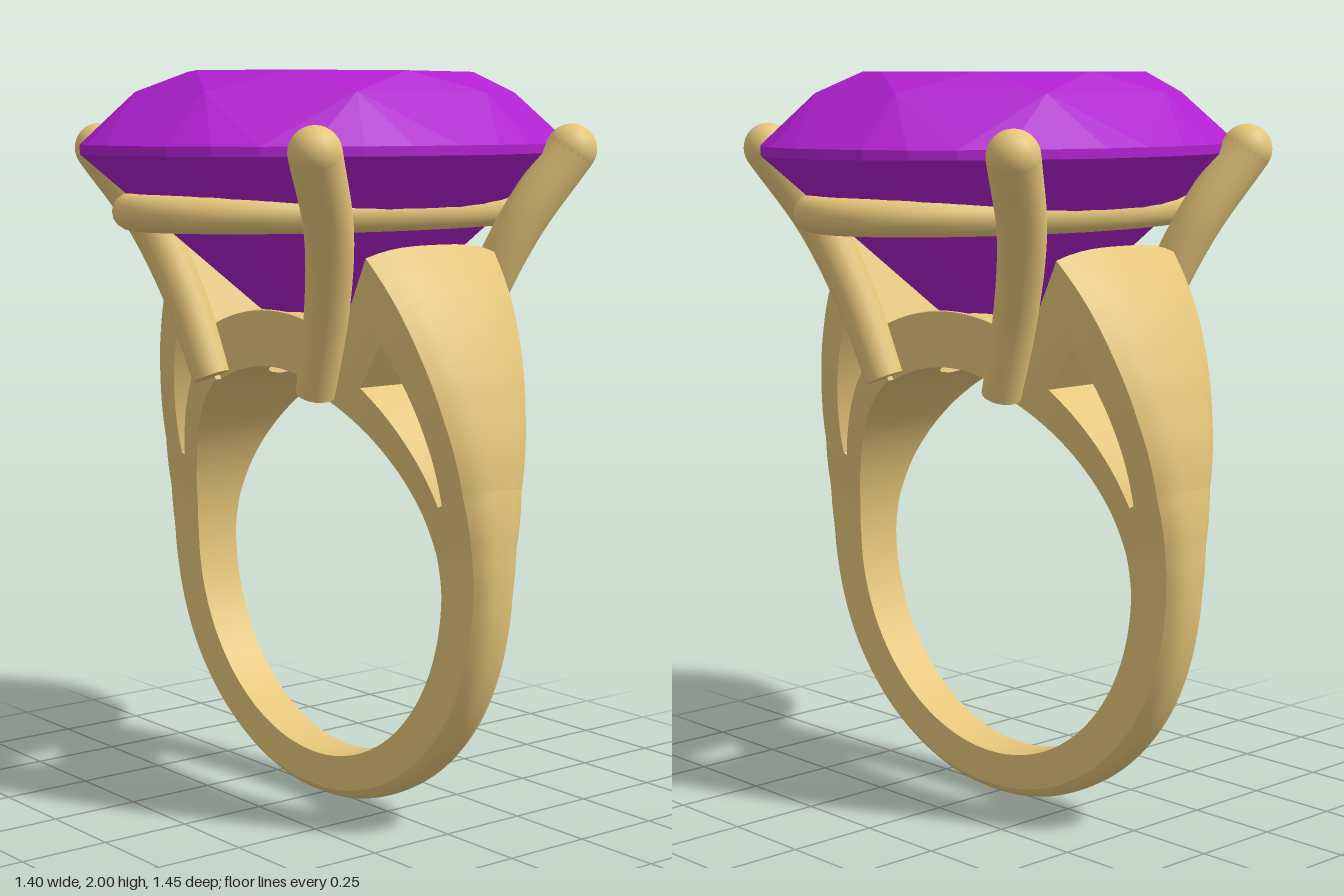
import * as THREE from 'three';
import { toCreasedNormals } from 'three/addons/utils/BufferGeometryUtils.js';
import { ConvexGeometry } from 'three/addons/geometries/ConvexGeometry.js';

const gold = new THREE.MeshStandardMaterial({ color: 0xe6c67a });
const purple = new THREE.MeshStandardMaterial({ color: 0xb020d0 });
const RAD = Math.PI / 180;
const CENTRE_Y = 0.67; // centre of the finger hole
const INNER = 0.545;   // radius of the finger hole

// Piecewise interpolation in a list of [key, value]
function lookup(table, k) {
  if (k <= table[0][0]) return table[0][1];
  for (let i = 1; i < table.length; i++) {
    const [a, va] = table[i - 1], [b, vb] = table[i];
    if (k <= b) return va + (vb - va) * (k - a) / (b - a);
  }
  return table[table.length - 1][1];
}
const OUTER = [[-90, 0.668], [-60, 0.674], [-30, 0.687], [-10, 0.692], [0, 0.698], [10, 0.712], [22, 0.745],
  [36, 0.812], [46, 0.87], [56, 0.935], [64, 0.985]];
const WIDTH = [[-90, 0.06], [0, 0.067], [10, 0.076], [22, 0.1], [31, 0.124], [40, 0.15], [52, 0.185], [64, 0.218]];
const elevation = (deg) => Math.asin(Math.sin(deg * RAD)) / RAD;
const outer = (deg) => lookup(OUTER, elevation(deg));
const width = (deg) => lookup(WIDTH, elevation(deg));

// Sweeps a cross-section around the finger hole; section gives r0, r1, z0, z1 and the crown's drop
function sweep(name, from, to, steps, section) {
  const pos = [], idx = [], K = 12, N = K + 3;
  for (let i = 0; i <= steps; i++) {
    const deg = from + (to - from) * i / steps;
    const { r0, r1, z0, z1, crown } = section(deg);
    const loop = [[r0, z0], [r0, z1]];
    for (let k = 0; k <= K; k++) {
      const s = 1 - 2 * k / K;
      loop.push([r1 - crown * Math.abs(s) ** 3, (z0 + z1) / 2 + s * (z1 - z0) / 2]);
    }
    for (const [r, z] of loop) pos.push(r * Math.cos(deg * RAD), CENTRE_Y + r * Math.sin(deg * RAD), z);
  }
  for (let i = 0; i < steps; i++) {
    for (let j = 0; j < N; j++) {
      const a = i * N + j, b = i * N + (j + 1) % N;
      idx.push(a, b, b + N, a, b + N, a + N);
    }
  }
  const last = steps * N;
  for (let j = 1; j < N - 1; j++) idx.push(0, j + 1, j, last, last + j, last + j + 1);
  const g = new THREE.BufferGeometry();
  g.setAttribute('position', new THREE.Float32BufferAttribute(pos, 3));
  g.setIndex(idx);
  const mesh = new THREE.Mesh(toCreasedNormals(g, 0.6), gold);
  mesh.name = name;
  return mesh;
}

// Band, split shoulders with a window on each side, and the bridge under the stone
function makeBand() {
  const band = new THREE.Group();
  band.name = 'band';
  const LOW = 22, HIGH = 55, END = 64;
  const full = (d) => ({ r0: INNER, r1: outer(d), z0: -width(d), z1: width(d), crown: 0.03 });
  const t = (d) => (elevation(d) - LOW) / (HIGH - LOW);
  const innerStrand = (d) => ({ ...full(d), r1: 0.612 + 0.026 * t(d), crown: 0 });
  const outerStrand = (d) => ({ ...full(d), r0: 0.628 + 0.154 * t(d) });
  band.add(sweep('shank', 180 - LOW, 360 + LOW, 96, full));
  for (const side of ['left', 'right']) {
    const span = (a, b) => (side === 'left' ? [a, b] : [180 - b, 180 - a]);
    band.add(sweep(side + 'InnerStrand', ...span(LOW, HIGH), 16, innerStrand));
    band.add(sweep(side + 'OuterStrand', ...span(LOW, HIGH), 16, outerStrand));
    band.add(sweep(side + 'Shoulder', ...span(HIGH, END), 4, full));
  }
  // two bridge bars leaving an oval opening below the stone
  const opening = (d) => 0.13 * Math.sqrt(Math.max(0, 1 - (Math.cos(d * RAD) * 0.6 / 0.25) ** 2));
  const bar = { r0: INNER, r1: 0.7, crown: 0.004 };
  band.add(sweep('frontBridge', 63, 117, 28, (d) => ({ ...bar, z0: opening(d), z1: 0.2 })));
  band.add(sweep('backBridge', 63, 117, 28, (d) => ({ ...bar, z0: -0.2, z1: -opening(d) })));
  return band;
}

// Curved claw, slightly thicker at its rounded tip
function makeProng(sx, sz) {
  const prong = new THREE.Group();
  prong.name = (sz > 0 ? 'front' : 'back') + (sx > 0 ? 'Left' : 'Right') + 'Prong';
  const curve = new THREE.CatmullRomCurve3([[0.235, 1.17, 0.235], [0.32, 1.39, 0.265], [0.405, 1.6, 0.325], [0.485, 1.795, 0.43]]
    .map(([x, y, z]) => new THREE.Vector3(x * sx, y, z * sz)));
  const R = 0.068, SEG = 28, SIDES = 20;
  const g = new THREE.TubeGeometry(curve, SEG, R, SIDES);
  const p = g.attributes.position, v = new THREE.Vector3();
  for (let i = 0; i < p.count; i++) {
    const u = Math.floor(i / (SIDES + 1)) / SEG, c = curve.getPointAt(u);
    v.fromBufferAttribute(p, i).sub(c).multiplyScalar(0.78 + 0.22 * u).add(c);
    p.setXYZ(i, v.x, v.y, v.z);
  }
  const stem = new THREE.Mesh(g, gold);
  stem.name = 'prongStem';
  const tip = new THREE.Mesh(new THREE.SphereGeometry(R, 24, 16), gold);
  tip.name = 'prongTip';
  tip.position.copy(curve.getPointAt(1));
  const foot = new THREE.Mesh(new THREE.CircleGeometry(R * 0.78, SIDES), gold);
  foot.name = 'prongFoot';
  foot.position.copy(curve.getPointAt(0));
  foot.quaternion.setFromUnitVectors(new THREE.Vector3(0, 0, 1), curve.getTangentAt(0).negate());
  prong.add(stem, tip, foot);
  return prong;
}

// Oval rail that carries the stone
function makeRail() {
  const pts = [];
  for (let i = 0; i < 48; i++) {
    const a = i / 48 * Math.PI * 2;
    pts.push(new THREE.Vector3(0.355 * Math.cos(a), 1.637, 0.605 * Math.sin(a)));
  }
  const curve = new THREE.CatmullRomCurve3(pts, true);
  const rail = new THREE.Mesh(new THREE.TubeGeometry(curve, 96, 0.048, 16, true), gold);
  rail.name = 'galleryRail';
  return rail;
}

// Oval brilliant-cut stone: rings of facet corners, wrapped by a convex hull
function makeStone() {
  const pts = [];
  const ring = (n, turn, r, y) => {
    for (let i = 0; i < n; i++) {
      const a = (i + turn) / n * Math.PI * 2;
      pts.push(new THREE.Vector3(0.528 * r * Math.cos(a), y, 0.725 * r * Math.sin(a)));
    }
  };
  ring(8, 0, 0.605, 2);        // table
  ring(8, 0.5, 0.785, 1.945);  // crown
  ring(32, 0, 1, 1.81);        // girdle
  ring(32, 0, 1, 1.785);
  ring(8, 0.5, 0.3, 1.374);    // pavilion
  pts.push(new THREE.Vector3(0, 1.22, 0));
  const stone = new THREE.Mesh(new ConvexGeometry(pts), purple);
  stone.name = 'stone';
  return stone;
}

export function createModel() {
  const ring = new THREE.Group();
  ring.name = 'ring';
  ring.add(makeBand(), makeRail(), makeStone());
  for (const sx of [1, -1]) for (const sz of [1, -1]) ring.add(makeProng(sx, sz));
  return ring;
}
